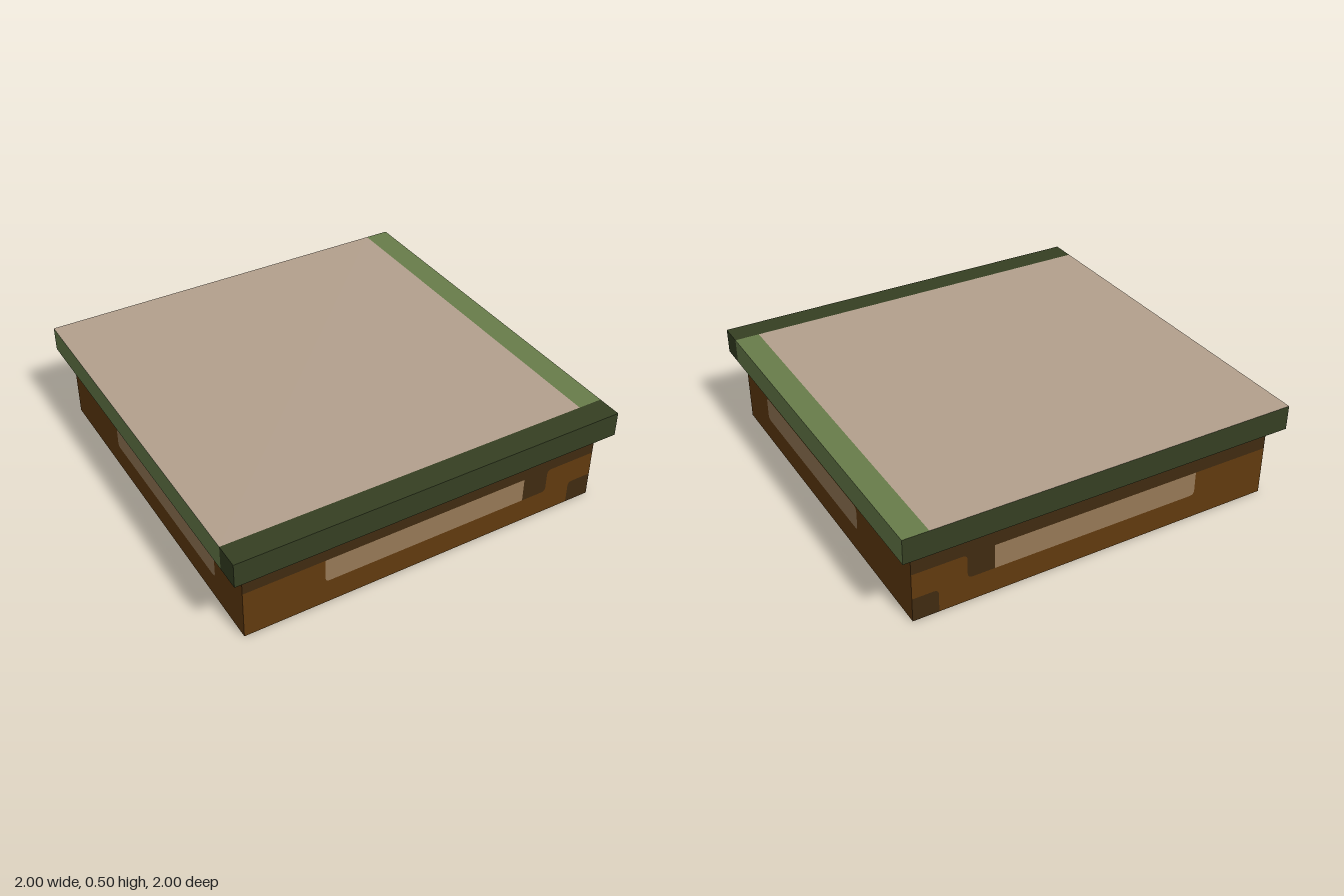
import * as THREE from 'three';

const mat = (name, color) => {
  const m = new THREE.MeshStandardMaterial({ color, side: THREE.DoubleSide });
  m.name = name;
  return m;
};

export function createModel() {
  const model = new THREE.Group();
  model.name = 'lowBoxWithLid';

  const sand = mat('sand', 0xb3a08d);
  const green = mat('green', 0x687c4a);
  const darkGreen = mat('darkGreen', 0x353f22);
  const brown = mat('brown', 0x613a0e);
  const darkBrown = mat('darkBrown', 0x402a10);
  const tan = mat('tan', 0x967856);

  const W = 0.9375; // half width of the body
  const H = 0.375;  // body height, underside of the lid
  const T = 0.5;    // top of the lid
  const S = 0.875;  // inner edge of the lid's coloured strips
  const r = 0.025;  // corner radius of the painted areas

  // Outline from points; a point with four numbers is a curve (control, end)
  const outline = (pts) => {
    const s = new THREE.Shape();
    pts.forEach((p, i) => {
      if (i === 0) s.moveTo(p[0], p[1]);
      else if (p.length === 4) s.quadraticCurveTo(...p);
      else s.lineTo(p[0], p[1]);
    });
    s.closePath();
    return s;
  };
  const rounded = (a, b, c, d) => outline([
    [a + r, c], [b - r, c], [b, c, b, c + r], [b, d - r], [b, d, b - r, d],
    [a + r, d], [a, d, a, d - r], [a, c + r], [a, c, a + r, c],
  ]);
  const add = (parent, name, shape, material) => {
    const mesh = new THREE.Mesh(new THREE.ShapeGeometry(shape, 6), material);
    mesh.name = name;
    parent.add(mesh);
  };

  // Front and back walls: dark upper band with a drop, dark foot, tan panel
  const pL = -0.535, pR = 0.535, y1 = 0.125, y2 = 0.25, dR = 0.67, fL = 0.81;
  const drop = [[dR + r, y2], [dR, y2, dR, y2 - r], [dR, y1 + r], [dR, y1, dR - r, y1]];
  const panelEdge = [[pL + r, y1], [pL, y1, pL, y1 + r], [pL, y2]];
  for (const side of [1, -1]) {
    const wall = new THREE.Group();
    wall.name = side > 0 ? 'frontWall' : 'backWall';
    wall.position.z = side * W;
    add(wall, 'wallBase', outline([
      [-W, 0], [fL, 0], [fL, y1 - 0.005 - r], [fL, y1 - 0.005, fL + r, y1 - 0.005],
      [W, y1 - 0.005], [W, y2], ...drop, ...panelEdge, [-W, y2],
    ]), brown);
    add(wall, 'upperBand', outline([[-W, y2], [pR, y2], [pR, y1], [dR - r, y1],
      [dR, y1, dR, y1 + r], [dR, y2 - r], [dR, y2, dR + r, y2], [W, y2], [W, H], [-W, H]]), darkBrown);
    add(wall, 'darkFoot', outline([[fL, 0], [W, 0], [W, y1 - 0.005],
      [fL + r, y1 - 0.005], [fL, y1 - 0.005, fL, y1 - 0.005 - r]]), darkBrown);
    add(wall, 'panel', outline([[pR, y1], [pR, y2], [pL, y2], [pL, y1 + r], [pL, y1, pL + r, y1]]), tan);
    model.add(wall);
  }

  // Side walls: plain with one panel, the shape's x running along z
  for (const side of [1, -1]) {
    const wall = new THREE.Group();
    wall.name = side > 0 ? 'leftWall' : 'rightWall';
    wall.position.x = side * W;
    wall.rotation.y = -Math.PI / 2;
    const base = outline([[-W, 0], [W, 0], [W, H], [-W, H]]);
    base.holes.push(rounded(-0.4, 0.67, y1, y2));
    add(wall, 'wallBase', base, brown);
    add(wall, 'panel', rounded(-0.4, 0.67, y1, y2), tan);
    model.add(wall);
  }

  // Lid: hollow, with an overhanging rim
  const lid = new THREE.Group();
  lid.name = 'lid';
  model.add(lid);
  const plate = (name, material, w, h, pos, rx = 0, ry = 0) => {
    const mesh = new THREE.Mesh(new THREE.PlaneGeometry(w, h), material);
    mesh.name = name;
    mesh.position.set(...pos);
    mesh.rotation.set(rx, ry, 0);
    lid.add(mesh);
  };
  // Horizontal plate between x0..x1 and z0..z1
  const flat = (name, material, x0, x1, z0, z1, y, down = false) =>
    plate(name, material, x1 - x0, z1 - z0, [(x0 + x1) / 2, y, (z0 + z1) / 2], down ? Math.PI / 2 : -Math.PI / 2);

  flat('lidTop', sand, -1, S, -1, S, T);
  flat('topSideStrip', green, S, 1, -1, S, T);
  flat('topFrontStrip', darkGreen, -1, 1, S, 1, T);

  const mid = (H + T) / 2, h = T - H;
  plate('lidFrontEdge', darkGreen, 2, h, [0, mid, 1]);
  plate('lidBackEdge', darkGreen, 2, h, [0, mid, -1], 0, Math.PI);
  flat('rimFront', darkGreen, -1, 1, W, 1, H, true);
  flat('rimBack', darkGreen, -1, 1, -1, -W, H, true);
  for (const s of [1, -1]) {
    plate('lidSideEdge', green, 1 + S, h, [s, mid, (S - 1) / 2], 0, s * Math.PI / 2);
    plate('lidSideEdgeEnd', darkGreen, 1 - S, h, [s, mid, (S + 1) / 2], 0, s * Math.PI / 2);
    const x0 = s > 0 ? W : -1, x1 = s > 0 ? 1 : -W;
    flat('rimSide', green, x0, x1, -W, S, H, true);
    flat('rimSideEnd', darkGreen, x0, x1, S, W, H, true);
  }
  return model;
}
